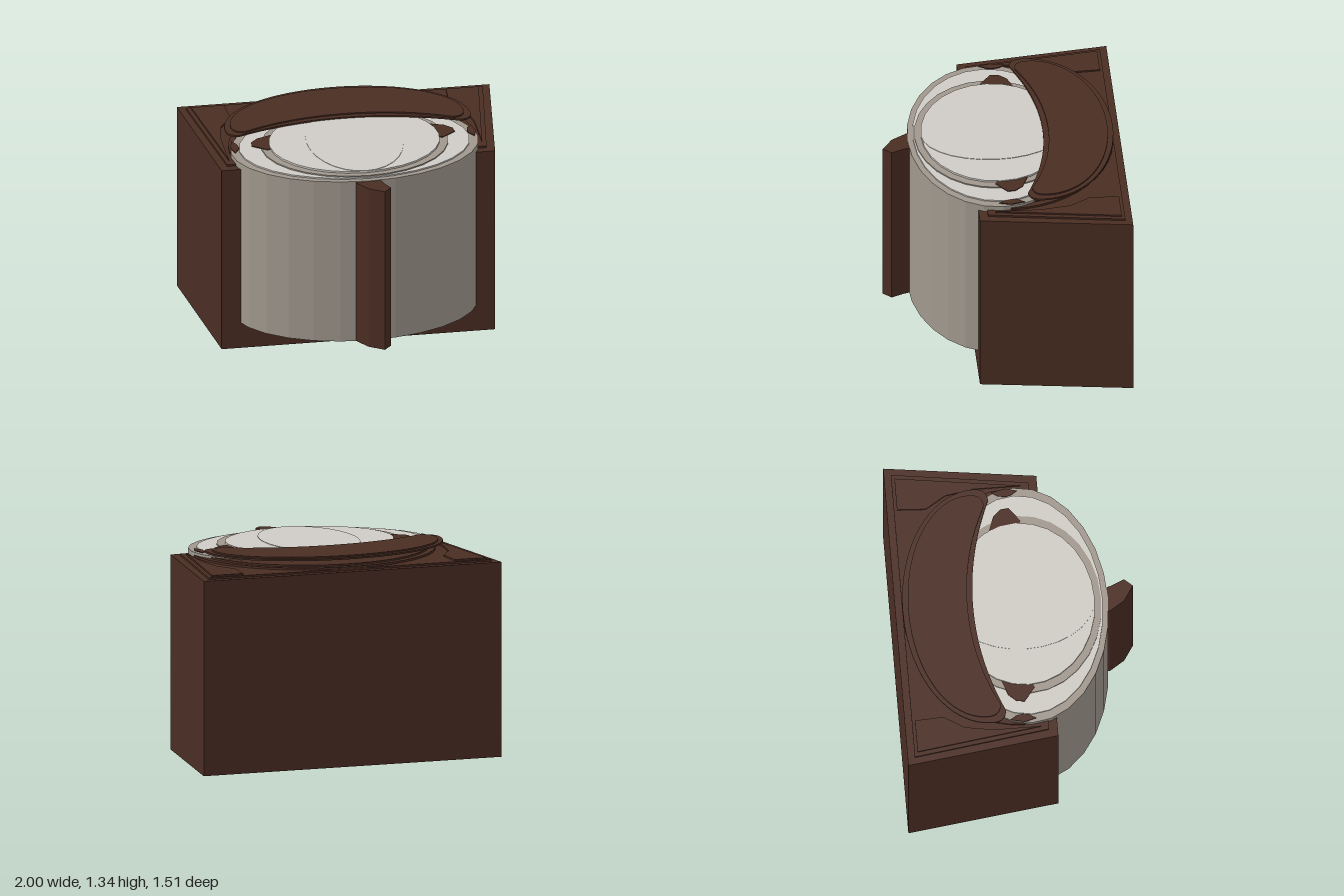
import * as THREE from 'three';

export function createModel() {
  const root = new THREE.Group();
  const paint = (name, color) => {
    const m = new THREE.MeshStandardMaterial({ color, flatShading: true });
    m.name = name;
    return m;
  };
  const brown = paint('dark brown', 0x4a2d23);
  const grey = paint('warm grey', 0xa0988e);
  const pale = paint('pale grey', 0xcfcbc5);

  const add = (name, geometry, material) => {
    const mesh = new THREE.Mesh(geometry, material);
    mesh.name = name;
    root.add(mesh);
    return mesh;
  };

  // Upright prism from a plan outline of [x, z] points
  const prism = (name, points, y0, y1, material) => {
    const shape = new THREE.Shape(points.map(([x, z]) => new THREE.Vector2(x, -z)));
    const g = new THREE.ExtrudeGeometry(shape, { depth: y1 - y0, bevelEnabled: false });
    g.rotateX(-Math.PI / 2).translate(0, y0, 0);
    return add(name, g, material);
  };

  // Elliptical disc
  const oval = (name, rx, rz, z, y0, y1, material) => {
    const g = new THREE.CylinderGeometry(1, 1, y1 - y0, 28);
    g.scale(rx, 1, rz).translate(0, (y0 + y1) / 2, z);
    return add(name, g, material);
  };

  const mirror = (points) => points.map(([x, z]) => [-x, z]).reverse();
  const symmetric = (half) => [...half, ...mirror(half)];

  // Tapered housing and its stepped top
  prism('housing', symmetric([[0.875, 0.205], [1, -0.755]]), 0, 1.25, brown);
  prism('topPlate', symmetric([[0.83, 0.15], [0.95, -0.71]]), 1.25, 1.262, brown);
  const corner = [[0.81, 0.1], [0.92, -0.69], [0.71, -0.69], [0.7, -0.51], [0.78, -0.38], [0.81, -0.2]];
  prism('leftCornerPlate', corner, 1.262, 1.272, brown);
  prism('rightCornerPlate', mirror(corner), 1.262, 1.272, brown);

  // Half-oval steps behind the drum
  const halfOval = (rx, rz) => Array.from({ length: 25 }, (_, i) => {
    const a = (i / 24) * Math.PI;
    return [rx * Math.cos(a), -rz * Math.sin(a)];
  });
  prism('lowerStep', halfOval(0.79, 0.71), 1.262, 1.275, brown);
  prism('upperStep', halfOval(0.75, 0.67), 1.275, 1.286, brown);

  // Drum with stacked oval lids
  oval('drum', 0.79, 0.54, 0.05, 0.175, 1.292, grey);
  oval('outerLid', 0.735, 0.505, 0.05, 1.292, 1.301, pale);
  oval('lidBand', 0.595, 0.493, 0.053, 1.301, 1.309, grey);
  oval('innerLid', 0.543, 0.46, 0.045, 1.309, 1.321, pale);
  oval('centreDisc', 0.305, 0.455, 0.05, 1.321, 1.324, pale);

  // Brown side marks on the lid and rim
  const lidMark = [[0.47, -0.14], [0.6, -0.09], [0.645, -0.04], [0.65, 0.01], [0.56, 0.08], [0.5, 0.05]];
  const rimMark = [[0.765, -0.09], [0.785, 0], [0.765, 0.075], [0.738, 0.03], [0.73, 0], [0.738, -0.05]];
  for (const [side, flip] of [['left', (p) => p], ['right', mirror]]) {
    prism(side + 'LidMark', flip(lidMark), 1.309, 1.314, brown);
    prism(side + 'RimMark', flip(rimMark), 1.301, 1.306, brown);
  }

  // Curved hood, two thin layers over the rear of the drum
  const hood = (name, rx, zBack, zSide, zFront, y0, y1) => {
    const s = new THREE.Shape();
    const mid = zSide - 0.09;
    s.moveTo(rx, -mid);
    s.absellipse(0, -mid, rx, mid - zBack, 0, Math.PI, false, 0);
    s.quadraticCurveTo(-rx, -zSide, -rx + 0.08, -zSide);
    s.quadraticCurveTo(-0.36, -zFront, 0, -zFront);
    s.quadraticCurveTo(0.36, -zFront, rx - 0.08, -zSide);
    s.quadraticCurveTo(rx, -zSide, rx, -mid);
    const g = new THREE.ExtrudeGeometry(s, { depth: y1 - y0, bevelEnabled: false, curveSegments: 16 });
    g.rotateX(-Math.PI / 2).translate(0, y0, 0);
    add(name, g, brown);
  };
  hood('hoodBase', 0.785, -0.71, -0.115, -0.265, 1.322, 1.333);
  hood('hoodTop', 0.745, -0.675, -0.145, -0.3, 1.333, 1.342);

  // Slanted handle on the front of the drum
  prism('handle', [[-0.08, 0.57], [0.075, 0.57], [0.09, 0.62], [0.125, 0.7], [0.078, 0.753], [-0.018, 0.69], [-0.08, 0.595]],
    0.18, 1.287, brown);

  return root;
}
